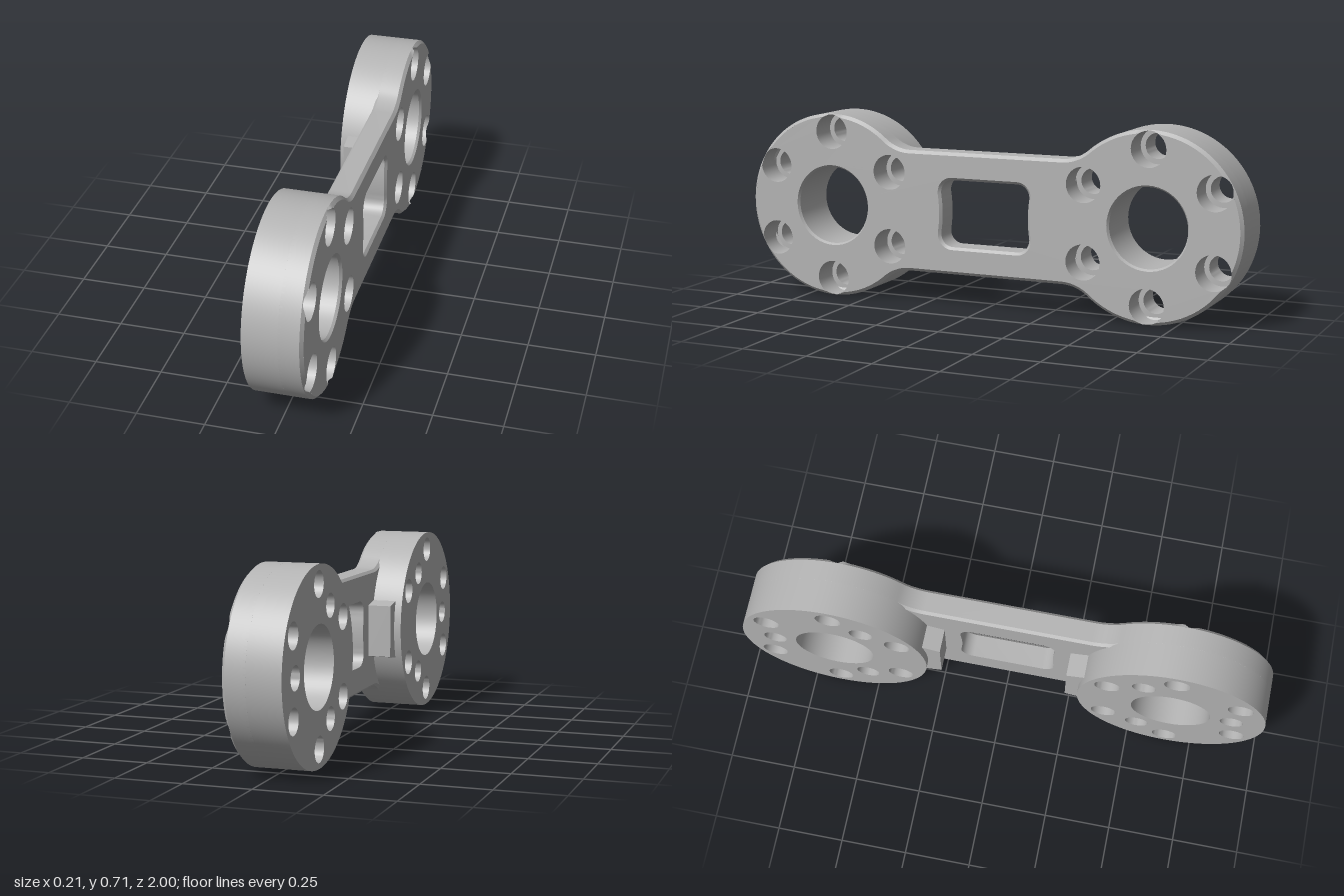
import * as THREE from 'three';
import { toCreasedNormals } from 'three/addons/utils/BufferGeometryUtils.js';

// Drawn flat in (u, v) with thickness h, then turned so that h becomes x.
const C = 0.645, R = 0.356, BACK = -0.107, FRONT = 0.107, BEVEL = 0.012;
const PLATE = 0.01, FLOOR = 0.0, PI = Math.PI;
const BOLT_CIRCLE = 0.287, BOLT = 0.048, BORE = 0.15, COUNTERBORE = 0.067;
const NECK = 0.233, FILLET = 0.162, FILLET_U = 0.31;
const TANGENT = Math.atan2(NECK + FILLET, FILLET_U - C);
const OUTER_BOLTS = [-PI / 2, -PI / 6, PI / 6, PI / 2];
const BOLTS = [...OUTER_BOLTS, 5 * PI / 6, 7 * PI / 6];

function arc(cx, cy, r, a0, a1, n) {
  return Array.from({ length: n + 1 }, (_, i) => {
    const a = a0 + (a1 - a0) * i / n;
    return new THREE.Vector2(cx + r * Math.cos(a), cy + r * Math.sin(a));
  });
}
const circle = (cx, cy, r, n = 32) => arc(cx, cy, r, 0, 2 * PI, n).slice(0, -1);
const polar = (r, a) => [r * Math.cos(a), r * Math.sin(a)];
const turned = pts => pts.map(p => new THREE.Vector2(-p.x, -p.y));

// Closed loop: lower fillet, end curve and upper fillet, repeated half a turn round
function bothEnds(end, off) {
  const v = NECK + FILLET, r = FILLET + off;
  const half = [
    ...arc(FILLET_U, -v, r, PI / 2, PI - TANGENT, 10).slice(0, -1),
    ...end,
    ...arc(FILLET_U, v, r, TANGENT - PI, -PI / 2, 10).slice(1),
  ];
  return [...half, ...turned(half)];
}
const roundEnd = off => arc(C, 0, R - off, -TANGENT, TANGENT, 96);
const outline = off => bothEnds(roundEnd(off), off);

// Front end curve, bitten into by the outer counterbores
function notchedEnd() {
  const r = R - BEVEL, d = BOLT_CIRCLE, q = COUNTERBORE;
  const g = Math.acos((r * r - d * d - q * q) / (2 * d * q));
  const f = Math.asin(q * Math.sin(g) / r);
  const pts = [];
  let from = -TANGENT;
  for (const b of OUTER_BOLTS) {
    const [u, v] = polar(d, b);
    pts.push(...arc(C, 0, r, from, b - f, 14).slice(0, -1));
    pts.push(...arc(C + u, v, q, b - g, b + g - 2 * PI, 26).slice(0, -1));
    from = b + f;
  }
  return [...pts, ...arc(C, 0, r, from, TANGENT, 14)];
}

// Inner bevel edge, pushed outward where a counterbore cuts the bevel
function bevelEnd() {
  return roundEnd(BEVEL).map(p => {
    const a = Math.atan2(p.y, p.x - C);
    let rho = R - BEVEL;
    for (const b of OUTER_BOLTS) {
      const s = BOLT_CIRCLE * Math.sin(a - b);
      if (Math.abs(a - b) < 0.5 && Math.abs(s) < COUNTERBORE)
        rho = Math.max(rho, BOLT_CIRCLE * Math.cos(a - b) + Math.sqrt(COUNTERBORE ** 2 - s * s));
    }
    const [u, v] = polar(rho, a);
    return new THREE.Vector2(C + u, v);
  });
}
const bevelHeight = p =>
  Math.min(FRONT, FRONT - (Math.hypot(Math.abs(p.x) - C, p.y) - (R - BEVEL)));

// Window with ends curved about the two bores
function windowLoop(e) {
  const half = [
    ...arc(0.133, -0.08, 0.048 + e, -PI / 2, 0, 8),
    ...arc(C, 0, 0.47 - e, PI + 0.15, PI - 0.15, 10),
    ...arc(0.133, 0.08, 0.048 + e, 0, PI / 2, 8),
  ];
  return [...half, ...turned(half)];
}

// Wall between two loops; hole walls face inward
function loft(a, ha, b, hb, hole = false) {
  const at = (p, h) => [p.x, p.y, typeof h === 'function' ? h(p) : h];
  const pos = [];
  a.forEach((_, i) => {
    const j = (i + 1) % a.length;
    const p = at(a[i], ha), q = at(a[j], ha), s = at(b[j], hb), t = at(b[i], hb);
    pos.push(...(hole ? [p, s, q, p, t, s] : [p, q, s, p, s, t]).flat());
  });
  const g = new THREE.BufferGeometry();
  g.setAttribute('position', new THREE.Float32BufferAttribute(pos, 3));
  g.computeVertexNormals();
  return toCreasedNormals(g, 0.5);
}

// Flat face with holes, facing the front or the back
function face(loop, holes, h, front = true) {
  const shape = new THREE.Shape(loop);
  shape.holes = holes.map(pts => new THREE.Path(pts));
  const g = new THREE.ShapeGeometry(shape);
  if (!front) {
    g.index.array.reverse();
    g.computeVertexNormals();
  }
  return g.translate(0, 0, h);
}

export function createModel() {
  const metal = new THREE.MeshStandardMaterial({ color: 0xb4b4b4, side: THREE.DoubleSide });
  metal.name = 'grey metal';
  const model = new THREE.Group();
  model.name = 'linkArm';
  const body = new THREE.Group();
  body.name = 'body';
  body.rotation.y = PI / 2;
  body.position.y = R;
  model.add(body);
  const add = (parent, name, geometry) => {
    const mesh = new THREE.Mesh(geometry, metal);
    mesh.name = name;
    parent.add(mesh);
  };

  // Front plate
  const boreEdge = circle(C, 0, BORE + 0.007, 48);
  const innerBores = BOLTS.slice(4).map(b => {
    const [u, v] = polar(BOLT_CIRCLE, b);
    return circle(C + u, v, COUNTERBORE);
  });
  const endHoles = [boreEdge, ...innerBores];
  add(body, 'frontFace', face(bothEnds(notchedEnd(), BEVEL),
    [...endHoles, ...endHoles.map(turned), windowLoop(0.01)], FRONT));
  add(body, 'frontBevel', loft(outline(0), FRONT - BEVEL, bothEnds(bevelEnd(), BEVEL),
    p => Math.abs(p.x) > C - 0.01 ? bevelHeight(p) : FRONT));
  add(body, 'plateEdge', loft(outline(0), PLATE + 0.01, outline(0), FRONT - BEVEL));
  add(body, 'backBevel', loft(outline(0.01), PLATE, outline(0), PLATE + 0.01));
  const innerArc = arc(C, 0, R - 0.01, 2 * PI - TANGENT, TANGENT, 30);
  add(body, 'neckBack', face(bothEnds(innerArc, 0.01), [windowLoop(0)], PLATE, false));
  add(body, 'windowWall', loft(windowLoop(0), PLATE, windowLoop(0), FRONT - 0.01, true));
  add(body, 'windowBevel', loft(windowLoop(0), FRONT - 0.01, windowLoop(0.01), FRONT, true));

  // Two round hubs, each with its own holes
  for (const [name, angle] of [['rearHub', 0], ['frontHub', PI]]) {
    const hub = new THREE.Group();
    hub.name = name;
    hub.rotation.z = angle;
    body.add(hub);
    const rim = circle(C, 0, R, 96), bore = circle(C, 0, BORE, 48);
    const backHoles = [bore];
    add(hub, 'hubRim', loft(rim, BACK, rim, 0.03));
    add(hub, 'boreWall', loft(bore, BACK, bore, FRONT - 0.01, true));
    add(hub, 'boreBevel', loft(bore, FRONT - 0.01, boreEdge, FRONT, true));

    // Counterbored bolt holes
    BOLTS.forEach((b, i) => {
      const [u, v] = polar(BOLT_CIRCLE, b);
      const small = circle(C + u, v, BOLT), large = circle(C + u, v, COUNTERBORE);
      backHoles.push(small);
      add(hub, 'boltHole', loft(small, BACK, small, FLOOR, true));
      add(hub, 'counterboreFloor', face(large, [small], FLOOR));
      add(hub, 'counterboreWall', loft(large, FLOOR, large, i < 4 ? bevelHeight : FRONT, true));
    });

    // Blind pin holes in the back
    for (const a of [0, 2 * PI / 3, 4 * PI / 3]) {
      const [u, v] = polar(0.231, a);
      const pin = circle(C + u, v, 0.044);
      backHoles.push(pin);
      add(hub, 'pinHole', loft(pin, BACK, pin, -0.01, true));
      add(hub, 'pinHoleFloor', face(pin, [], -0.01, false));
    }
    add(hub, 'hubBack', face(rim, backHoles, BACK, false));

    // Stop tab on the inner side, flaring into the hub
    const tab = new THREE.Shape([[0.24, -0.1], [0.32, -0.1], [0.32, 0.1], [0.24, 0.1]]
      .map(([u, v]) => new THREE.Vector2(u, v * (u > 0.3 ? 1.15 : 1))));
    add(hub, 'stopTab', new THREE.ExtrudeGeometry(tab, { depth: 0.095, bevelEnabled: false })
      .translate(0, 0, -0.08));
  }
  return model;
}
